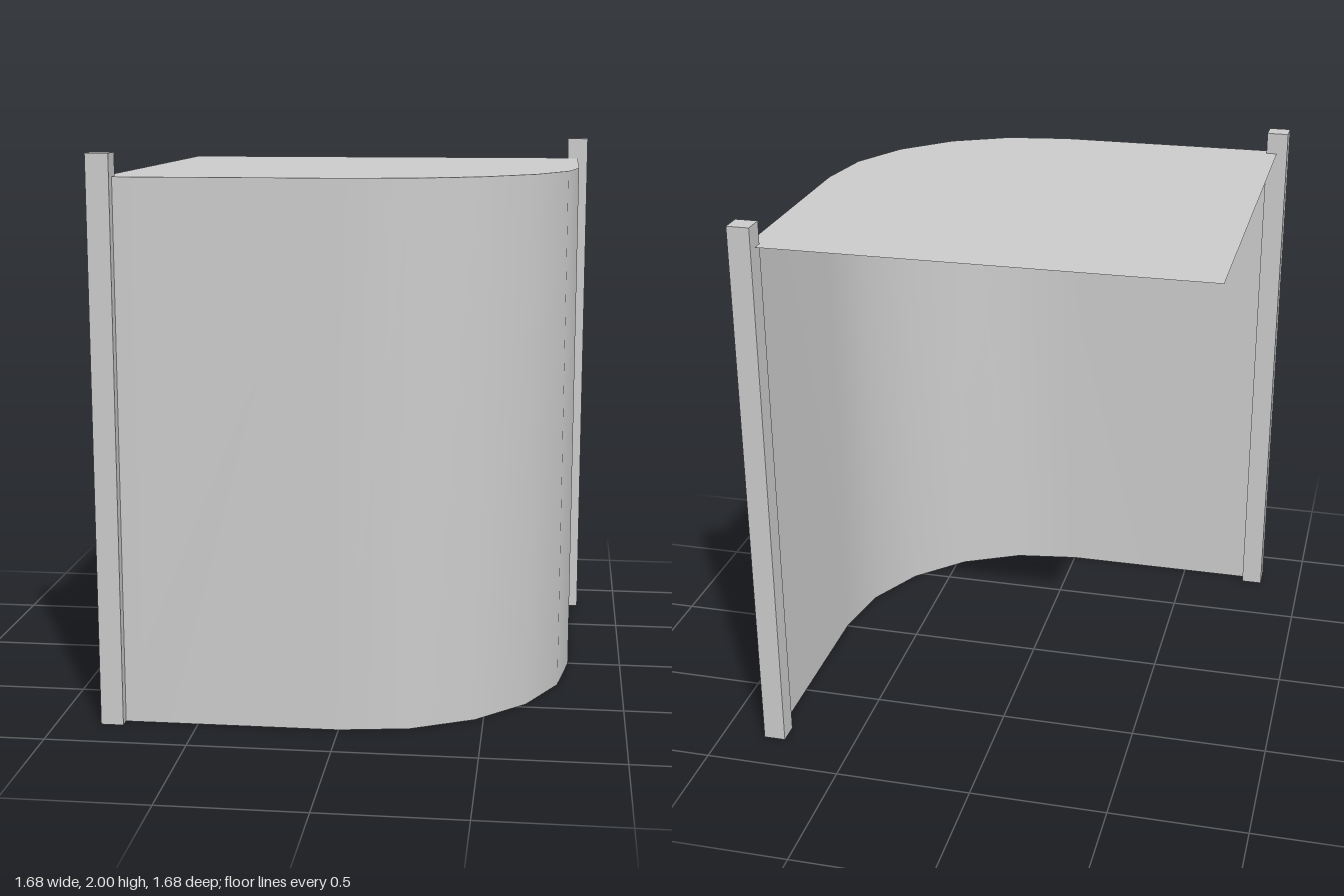
import * as THREE from 'three';

const HALF = 0.8, ROOF_Y = 1.92, POST = 0.08, STEPS = 5;

// Plan outline [x, z]: front left end, rounded corner, back right end
function plan(radius) {
  const c = HALF - radius;
  const points = [[-HALF, HALF]];
  for (let i = 0; i <= STEPS; i++) {
    const a = (i / STEPS) * Math.PI / 2;
    points.push([c + radius * Math.sin(a), c + radius * Math.cos(a)]);
  }
  points.push([HALF, -HALF]);
  return points;
}

export function createModel() {
  const group = new THREE.Group();
  const solid = new THREE.MeshStandardMaterial({ color: 0xcccccc });
  const sheet = new THREE.MeshStandardMaterial({ color: 0xcccccc, side: THREE.DoubleSide });

  const add = (name, geometry, material) => {
    const mesh = new THREE.Mesh(geometry, material);
    mesh.name = name;
    group.add(mesh);
    return mesh;
  };

  // Curved wall: a flat sheet whose columns follow the plan
  const path = plan(0.8);
  const wall = new THREE.PlaneGeometry(1, ROOF_Y, path.length - 1, 1);
  const pos = wall.attributes.position;
  for (let i = 0; i < pos.count; i++) {
    const [x, z] = path[i % path.length];
    pos.setXYZ(i, x, pos.getY(i) + ROOF_Y / 2, z);
  }
  wall.computeVertexNormals();
  add('curvedWall', wall, sheet);

  // Thin flat roof, with a slightly tighter corner than the wall
  const outline = [...plan(0.75), [-HALF, -HALF]].map(([x, z]) => new THREE.Vector2(x, -z));
  const roof = new THREE.ShapeGeometry(new THREE.Shape(outline));
  roof.rotateX(-Math.PI / 2);
  add('roof', roof, sheet).position.y = ROOF_Y;

  // Square posts at the two ends of the wall
  for (const [name, s] of [['frontPost', -1], ['backPost', 1]]) {
    add(name, new THREE.BoxGeometry(POST, 2, POST), solid).position.set(s * HALF, 1, -s * HALF);
  }

  return group;
}
